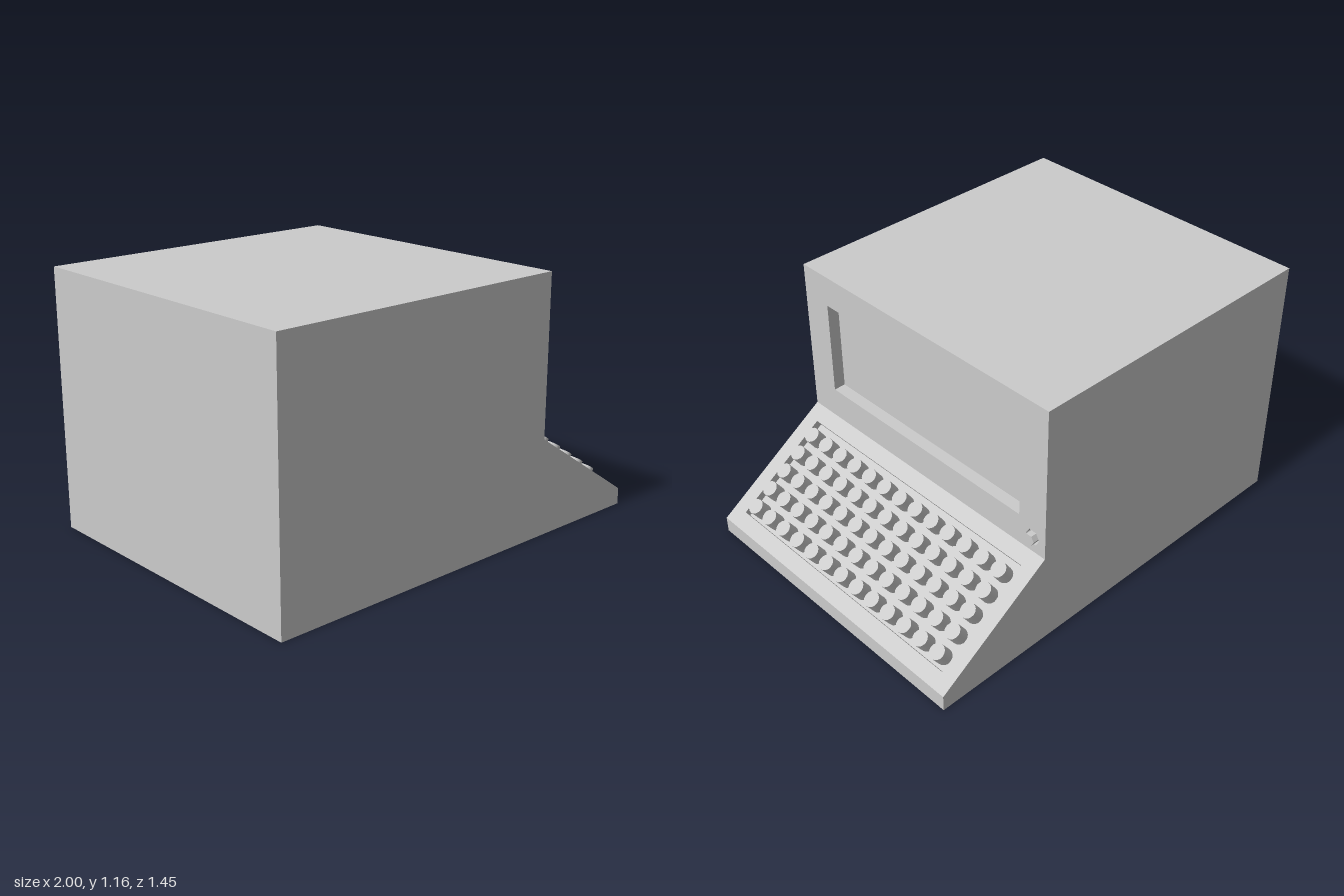
import * as THREE from 'three';

const HALF = 0.725;          // half width of the cabinet
const BEZEL = 0.055;         // screen recess depth
const WELL = 0.036;          // key well depth
const SLOPE = Math.atan2(0.365, 0.55);
const SLOPE_LEN = Math.hypot(0.365, 0.55);

const grey = new THREE.MeshStandardMaterial({ color: 0xcccccc });

function mesh(name, geometry) {
  const m = new THREE.Mesh(geometry, grey);
  m.name = name;
  return m;
}

function polygon(points, Type = THREE.Shape) {
  return new Type(points.map(([x, y]) => new THREE.Vector2(x, y)));
}

const rect = (x0, y0, x1, y1) => [[x0, y0], [x1, y0], [x1, y1], [x0, y1]];

const hexagon = (cx, cy, r) => Array.from({ length: 6 }, (_, i) => {
  const a = i * Math.PI / 3;
  return [cx + r * Math.cos(a), cy + r * Math.sin(a)];
});

// Plate from an outline with optional holes
function plate(outline, depth, holes = []) {
  const shape = polygon(outline);
  for (const h of holes) shape.holes.push(polygon(h, THREE.Path));
  return new THREE.ExtrudeGeometry(shape, { depth, bevelEnabled: false });
}

export function createModel() {
  const model = new THREE.Group();
  model.name = 'desktopTerminal';

  // Cabinet core, stepped back where the bezel and key plate fit
  const dx = WELL * Math.sin(SLOPE), dy = WELL * Math.cos(SLOPE);
  const core = plate([
    [-1, 0], [1, 0], [1, 0.075], [1 - dx, 0.075 - dy], [0.45 - dx, 0.44 - dy],
    [0.45, 0.44], [0.45 - BEZEL, 0.44], [0.45 - BEZEL, 1.165], [-1, 1.165],
  ], 2 * HALF);
  core.translate(0, 0, -HALF);
  model.add(mesh('cabinet', core));

  // Upright face: bezel with screen opening and knob socket, plus the knob
  const face = new THREE.Group();
  face.name = 'screenFace';
  face.position.x = 0.45 - BEZEL;
  face.rotation.y = Math.PI / 2;
  face.add(mesh('screenBezel', plate(rect(-HALF, 0.44, HALF, 1.165), BEZEL, [
    rect(-0.58, 0.585, 0.58, 1.022),
    hexagon(0.655, 0.513, 0.037),
  ])));
  face.add(mesh('knob', plate(hexagon(0.655, 0.513, 0.027), BEZEL + 0.021)));
  model.add(face);

  // Sloping keyboard: local x runs down the slope, local y points out of it
  const keyboard = new THREE.Group();
  keyboard.name = 'keyboard';
  keyboard.position.set(0.45, 0.44, 0);
  keyboard.rotation.z = -SLOPE;
  const deck = plate(rect(0, -HALF, SLOPE_LEN, HALF), WELL, [rect(0.072, -0.655, 0.588, 0.655)]);
  deck.rotateX(-Math.PI / 2).translate(0, -WELL, 0);
  keyboard.add(mesh('keyboardDeck', deck));

  // Five rows of thirteen round keys
  const keyHeight = WELL + 0.034;
  const keyGeometry = new THREE.CylinderGeometry(0.035, 0.035, keyHeight, 16);
  for (let row = 0; row < 5; row++) {
    for (let col = 0; col < 13; col++) {
      const key = mesh('key', keyGeometry);
      key.position.set(0.138 + row * 0.1, keyHeight / 2 - WELL, (col - 6) * 0.1);
      keyboard.add(key);
    }
  }
  model.add(keyboard);
  return model;
}
